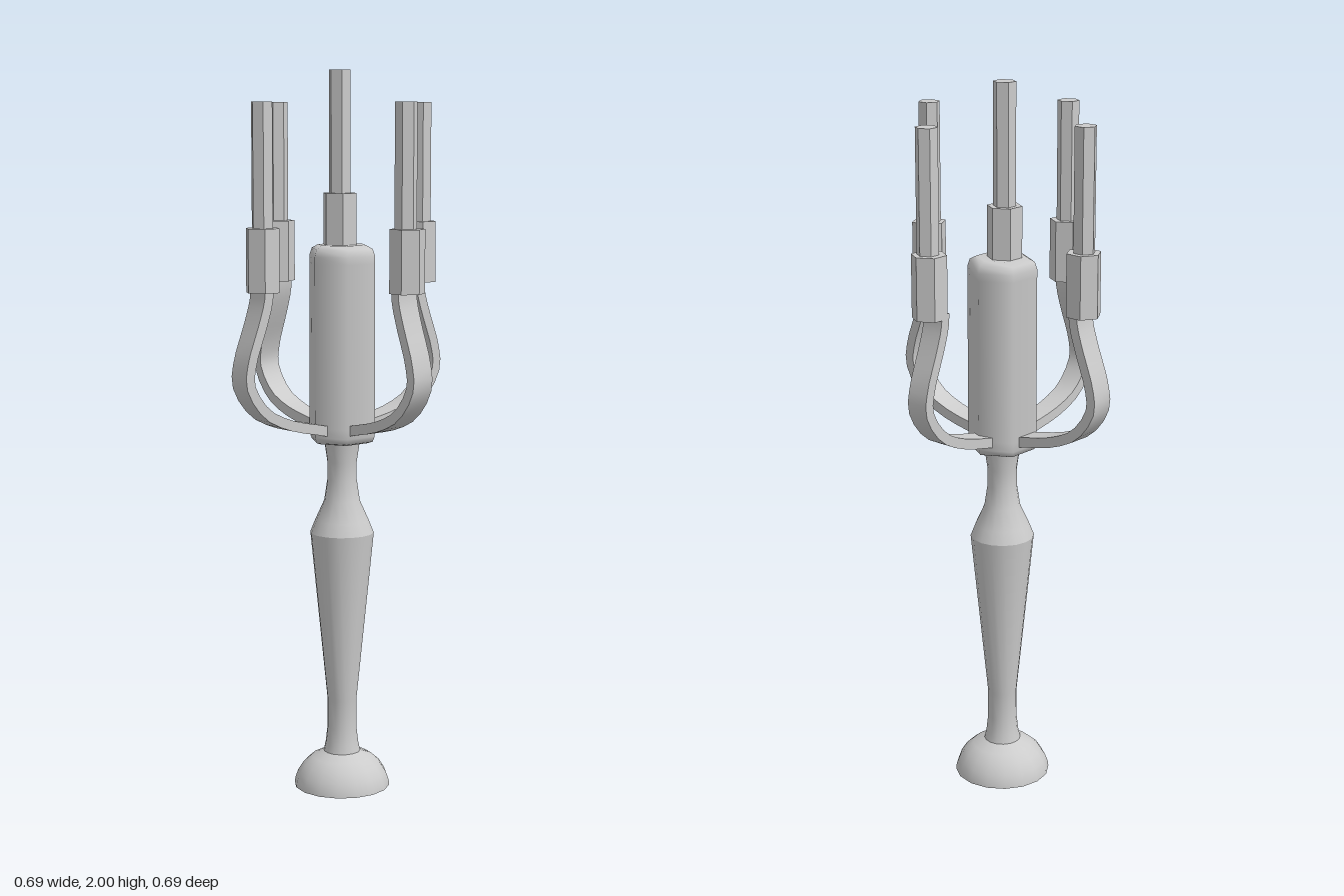
import * as THREE from 'three';
import { toCreasedNormals } from 'three/addons/utils/BufferGeometryUtils.js';

const smooth = new THREE.MeshStandardMaterial({ color: 0xcccccc, side: THREE.DoubleSide });
const flat = new THREE.MeshStandardMaterial({ color: 0xcccccc, flatShading: true });
const AXIS_X = 0.007;

function add(parent, name, geometry, material, x = 0, y = 0, z = 0) {
  const mesh = new THREE.Mesh(geometry, material);
  mesh.name = name;
  mesh.position.set(x, y, z);
  parent.add(mesh);
  return mesh;
}

// Revolved profile of [radius, height] pairs, listed from bottom to top
function turned(profile, sides) {
  const points = profile.map(([r, y]) => new THREE.Vector2(r, y));
  return new THREE.LatheGeometry(points, sides, Math.PI / 2);
}

// Six-sided upright prism between two heights, one corner facing the given angle
function hexPrism(parent, name, radius, y0, y1, x, z, angle) {
  const geometry = new THREE.CylinderGeometry(radius, radius, y1 - y0, 6);
  geometry.rotateY(angle);
  add(parent, name, geometry, flat, x, (y0 + y1) / 2, z);
}

// Curved strap: a centre line thickened on both sides, then extruded to width
function armGeometry() {
  const path = new THREE.SplineCurve([
    [0.03, 1.015], [0.09, 1.03], [0.19, 1.052], [0.275, 1.092], [0.328, 1.165],
    [0.323, 1.235], [0.292, 1.32], [0.271, 1.385], [0.266, 1.43],
  ].map(([x, y]) => new THREE.Vector2(x, y)));
  const outer = [], inner = [], steps = 20, half = 0.014;
  for (let i = 0; i <= steps; i++) {
    const p = path.getPoint(i / steps), t = path.getTangent(i / steps);
    const n = new THREE.Vector2(t.y, -t.x).multiplyScalar(half);
    outer.push(p.clone().add(n));
    inner.unshift(p.clone().sub(n));
  }
  const width = 0.065;
  const geometry = new THREE.ExtrudeGeometry(new THREE.Shape([...outer, ...inner]), {
    depth: width, bevelEnabled: false,
  });
  geometry.translate(0, 0, -width / 2);
  return toCreasedNormals(geometry, 0.7);
}

export function createModel() {
  const model = new THREE.Group();
  model.name = 'candelabra';

  // Hollow domed foot
  add(model, 'foot', turned([
    [0.135, 0], [0.133, 0.015], [0.125, 0.037], [0.109, 0.062], [0.085, 0.083], [0.05, 0.1],
  ], 16), smooth, AXIS_X);

  // Turned stem, split at its widest ring to keep that edge sharp
  add(model, 'lowerStem', turned([
    [0.052, 0.098], [0.046, 0.125], [0.041, 0.17], [0.041, 0.25], [0.089, 0.73],
  ], 16), smooth, AXIS_X);
  add(model, 'upperStem', turned([
    [0.089, 0.73], [0.075, 0.765], [0.05, 0.82], [0.041, 0.88], [0.041, 0.93], [0.05, 0.99],
  ], 16), smooth, AXIS_X);

  // Six-sided column with softened ends
  add(model, 'column', turned([
    [0, 0.985], [0.075, 0.985], [0.09, 0.99], [0.096, 1.005], [0.096, 1.03],
    [0.096, 1.48], [0.096, 1.5], [0.089, 1.52], [0.07, 1.53], [0, 1.53],
  ], 6), smooth, AXIS_X);

  // Centre candle
  hexPrism(model, 'centreHolder', 0.048, 1.51, 1.67, 0.005, -0.007, Math.PI / 2);
  hexPrism(model, 'centreCandle', 0.031, 1.66, 2, 0.005, -0.007, Math.PI / 2);

  // Four arms, each with a holder and candle set slightly off true
  const arm = armGeometry();
  const sides = [
    { name: 'left', angle: 0, holder: [0.284, 0.006], candle: [0.284, 0.01] },
    { name: 'back', angle: Math.PI / 2, holder: [0.001, -0.278], candle: [0.001, -0.279] },
    { name: 'right', angle: Math.PI, holder: [-0.27, 0.006], candle: [-0.27, 0.005] },
    { name: 'front', angle: -Math.PI / 2, holder: [0.001, 0.276], candle: [-0.005, 0.276] },
  ];
  for (const { name, angle, holder, candle } of sides) {
    const branch = new THREE.Group();
    branch.name = name + 'Branch';
    add(branch, name + 'Arm', arm, smooth, -0.001, 0, -0.001).rotation.y = angle;
    const corner = angle + Math.PI / 2;
    hexPrism(branch, name + 'Holder', 0.048, 1.415, 1.585, ...holder, corner);
    hexPrism(branch, name + 'Candle', 0.03, 1.575, 1.915, ...candle, corner);
    model.add(branch);
  }

  return model;
}
